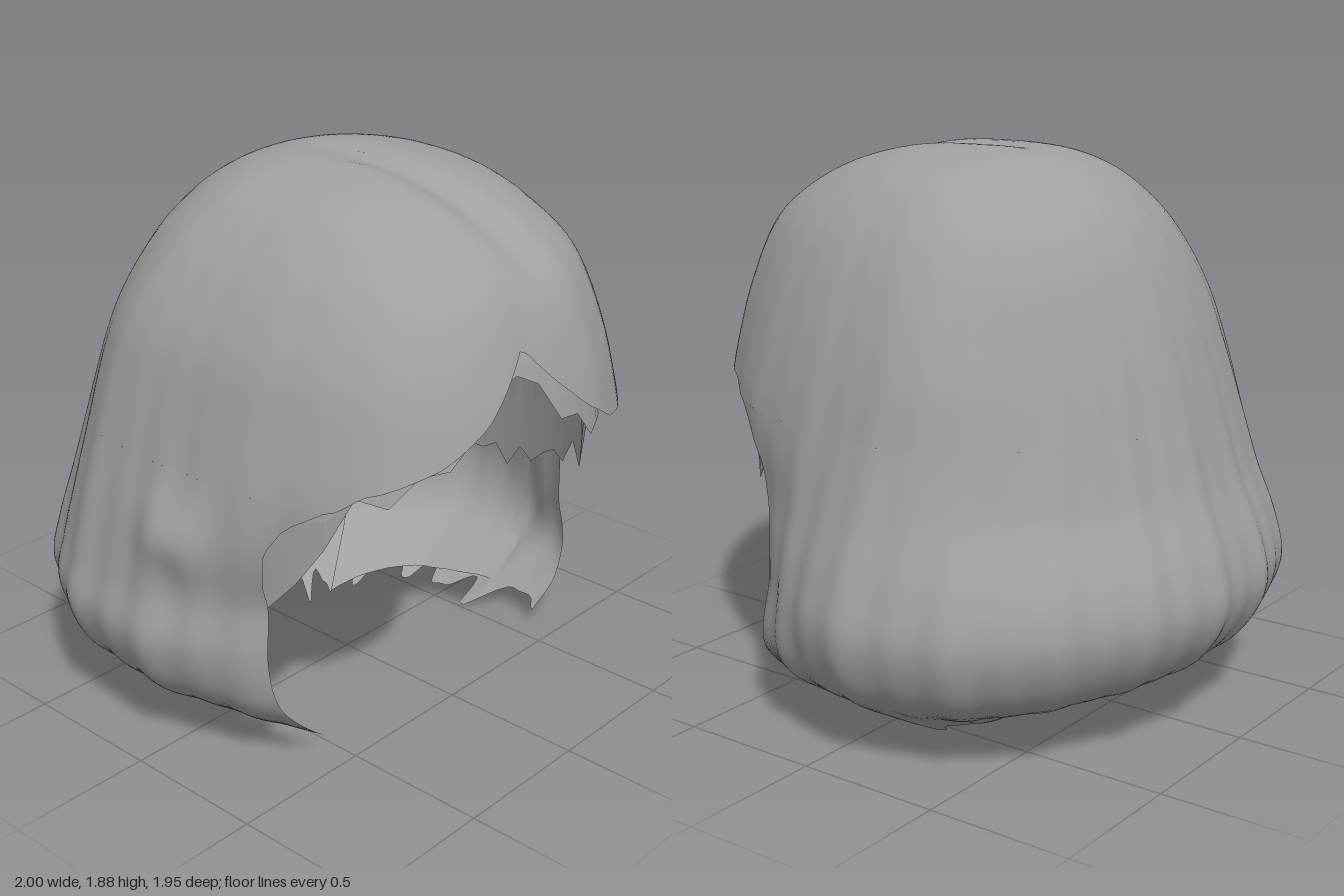
import * as THREE from 'three';
import { mergeVertices } from 'three/addons/utils/BufferGeometryUtils.js';

const TOP = 1.88, SEAM = 1.03;
const { lerp, clamp, smoothstep } = THREE.MathUtils;

// Half widths and depths of the hair at falling heights
const HEIGHT = [1.88, 1.85, 1.8, 1.7, 1.6, 1.4, 1.2, 1.0, 0.8, 0.6, 0.45, 0.3, 0.2, 0.1, 0];
const LEFT = [0, 0.25, 0.40, 0.53, 0.61, 0.71, 0.78, 0.83, 0.89, 0.96, 0.99, 0.95, 0.87, 0.71, 0.54];
const RIGHT = [0, 0.29, 0.42, 0.55, 0.64, 0.76, 0.82, 0.87, 0.92, 0.96, 0.99, 0.94, 0.85, 0.71, 0.54];
const FRONT = [0.1, 0.36, 0.53, 0.72, 0.83, 0.92, 0.97, 0.99, 0.92, 0.82, 0.78, 0.82, 0.88, 0.9, 0.9];
const BACK = [0, -0.24, -0.37, -0.5, -0.58, -0.68, -0.75, -0.81, -0.87, -0.95, -0.97, -0.9, -0.78, -0.52, -0.32];
const depth = HEIGHT.map((y) => Math.sqrt(TOP - y));

// Smooth interpolation through knots
function curve(xs, ys, x) {
  const n = xs.length - 1;
  if (x <= xs[0]) return ys[0];
  if (x >= xs[n]) return ys[n];
  let i = 0;
  while (x > xs[i + 1]) i++;
  const slope = (k) => {
    const a = Math.max(k - 1, 0), b = Math.min(k + 1, n);
    return (ys[b] - ys[a]) / (xs[b] - xs[a]);
  };
  const h = xs[i + 1] - xs[i], t = (x - xs[i]) / h, t2 = t * t, t3 = t2 * t;
  return (2 * t3 - 3 * t2 + 1) * ys[i] + (t3 - 2 * t2 + t) * h * slope(i)
    + (3 * t2 - 2 * t3) * ys[i + 1] + (t3 - t2) * h * slope(i + 1);
}

function linear(xs, ys, x) {
  if (x <= xs[0]) return ys[0];
  for (let i = 1; i < xs.length; i++) {
    if (x <= xs[i]) return lerp(ys[i - 1], ys[i], (x - xs[i - 1]) / (xs[i] - xs[i - 1]));
  }
  return ys[ys.length - 1];
}

// Point on the hair at an angle and height; angle 0 is +x, 90 degrees is the front
function hairPoint(angle, y, scale = 1, strands = 1) {
  const q = Math.sqrt(Math.max(TOP - y, 0));
  const c = Math.cos(angle), s = Math.sin(angle);
  const zc = lerp(0.05, -0.15, Math.min(q / 0.8, 1));
  const a = Math.max(curve(depth, c > 0 ? LEFT : RIGHT, q), 1e-4);
  const b = Math.max(Math.abs(curve(depth, s > 0 ? FRONT : BACK, q) - zc), 1e-4);
  // The right front is fuller, the left side cuts in, and the back corners taper above the bulge
  const middle = smoothstep(y, 0.2, 0.5) * smoothstep(1.1 - y, 0, 0.4);
  const p = 2 + 1.2 * smoothstep(-c, -0.15, 0.4) * smoothstep(s, 0, 0.4) * smoothstep(y, 0.6, 1.1)
    - 0.3 * smoothstep(c, 0, 0.3) * smoothstep(s, 0, 0.4) * middle
    - 0.25 * smoothstep(c, -0.3, 0.5) * smoothstep(-s, 0, 0.4)
      * smoothstep(y, 0.55, 0.85) * smoothstep(1.7 - y, 0, 0.4);
  let r = (Math.abs(c / a) ** p + Math.abs(s / b) ** p) ** (-1 / p);
  const wave = 0.5 * Math.sin(17 * angle + 1) + 0.35 * Math.sin(34 * angle + 0.5 + y)
    + 0.3 * Math.sin(9 * angle + 2 * y);
  const amount = 0.004 + 0.012 * smoothstep(1.5 - y, 0, 1) * (1 - 0.5 * smoothstep(s, 0.3, 0.6));
  r *= scale * (1 + strands * amount * wave * smoothstep(q, 0, 0.5));
  const point = new THREE.Vector3(r * c, y, zc + r * s);
  // Parting groove on the crown and a bump over the right ear
  if (strands) {
    point.y -= 0.03 * Math.exp(-(((point.x + 0.04) / 0.07) ** 2))
      * smoothstep(y, 1.45, 1.8) * smoothstep(point.z, -0.3, 0.2);
    if (c < 0) point.x -= 0.05 * Math.exp(-(((y - 0.82) / 0.12) ** 2) - ((point.z - 0.1) / 0.12) ** 2);
  }
  return point;
}

// Grid surface from a function of u (around) and v (downward)
function patch(name, material, nu, nv, f, faceted = false) {
  const pos = [], index = [];
  for (let j = 0; j <= nv; j++) {
    for (let i = 0; i <= nu; i++) pos.push(...f(i / nu, j / nv).toArray());
  }
  for (let j = 0; j < nv; j++) {
    for (let i = 0; i < nu; i++) {
      const a = j * (nu + 1) + i, b = a + nu + 1;
      index.push(a, a + 1, b, a + 1, b + 1, b);
    }
  }
  let geometry = new THREE.BufferGeometry();
  geometry.setAttribute('position', new THREE.Float32BufferAttribute(pos, 3));
  geometry.setIndex(index);
  geometry = faceted ? geometry.toNonIndexed() : mergeVertices(geometry, 1e-4);
  geometry.computeVertexNormals();
  const mesh = new THREE.Mesh(geometry, material);
  mesh.name = name;
  return mesh;
}

// Lower edge of the fringe, swept to both sides of an off-centre parting
function fringeEdge(angle) {
  if (Math.sin(angle) <= 0) return SEAM;
  const point = hairPoint(angle, 1.15, 1, 0);
  const edge = linear([-0.78, -0.55, -0.4, -0.23, -0.1, 0.05, 0.2, 0.5, 0.64],
    [1.06, 1.17, 1.27, 1.46, 1.34, 1.22, 1.13, 1.08, SEAM], point.x);
  return lerp(SEAM, edge, smoothstep(point.z, 0.6, 0.72));
}

// Angle at which the side curtain ends, for either side
function curtainEdge(y, right) {
  const z = linear([0, 0.7, 0.85, 0.95, SEAM], [0.4, 0.4, 0.43, 0.5, 0.62], y);
  let lo = 0, hi = Math.PI / 2;
  for (let i = 0; i < 24; i++) {
    const mid = (lo + hi) / 2;
    if (hairPoint(right ? Math.PI - mid : mid, y, 1, 0).z < z) lo = mid; else hi = mid;
  }
  return right ? Math.PI - lo : lo + 2 * Math.PI;
}

// Uneven lower tips, raised at the back and at the front corners
function hem(angle) {
  const side = smoothstep(Math.abs(Math.cos(angle)), 0.3, 0.7);
  return clamp(0.1 - 0.07 * side + 0.07 * smoothstep(Math.sin(angle), 0.45, 0.68)
    + (0.006 + 0.022 * side) * (Math.sin(23 * angle) + 0.5 * Math.sin(37 * angle)), 0, 0.2);
}

export function createModel() {
  const group = new THREE.Group();
  group.name = 'bobHair';
  const hair = new THREE.MeshStandardMaterial({ color: 0xa0a0a0, side: THREE.DoubleSide });
  hair.name = 'hair grey';

  // Crown and fringe
  group.add(patch('crownAndFringe', hair, 240, 48, (u, v) => {
    const angle = u * Math.PI * 2;
    return hairPoint(angle, TOP - (TOP - fringeEdge(angle)) * v * v);
  }));

  // Sides and back, with an inner layer that meets it at the edges
  const curtain = (thickness) => (u, v) => {
    const level = lerp(SEAM, 0.06, v);
    const angle = lerp(curtainEdge(level, true), curtainEdge(level, false), u);
    const taper = smoothstep(Math.min(u, 1 - u), 0, 0.05) * smoothstep(1 - v, 0, 0.2);
    return hairPoint(angle, lerp(SEAM, hem(angle), v), 1 - thickness * taper);
  };
  group.add(patch('sideAndBackHair', hair, 220, 44, curtain(0)));
  group.add(patch('innerHair', hair, 160, 30, curtain(0.04)));

  // Loose locks curling in behind the front edges
  for (const right of [true, false]) {
    group.add(patch(right ? 'rightInnerLock' : 'leftInnerLock', hair, 24, 20, (u, v) => {
      const y = lerp(lerp(0.78, 0.58, u), lerp(0.1, 0.02, u), v);
      const end = right ? Math.PI * 1.18 : Math.PI * 1.82;
      const angle = lerp(curtainEdge(y, right), end, u);
      return hairPoint(angle, y, 1 - lerp(0.3, 0.2, v) * smoothstep(u, 0, 1));
    }));
  }

  // Faceted lining with ragged ends beside the face
  const liningEdge = (angle) => {
    const s = Math.sin(angle), left = Math.cos(angle) > 0;
    const teeth = 0.05 * Math.sin(angle * 31);
    const limit = left ? 0.82 : 0.72;
    if (s > limit) return fringeEdge(angle) - 0.06 + 0.6 * teeth;
    return linear([-1, -0.3, 0, 0.4, 0.62, limit],
      [0.75, 0.74, 0.52, 0.56, 0.66, left ? 0.78 : 0.95], s) + teeth * smoothstep(s, 0.1, 0.4);
  };
  group.add(patch('lining', hair, 72, 16, (u, v) => {
    const angle = u * Math.PI * 2;
    const top = 1.84, y = top - (top - liningEdge(angle)) * v ** 1.6;
    const point = hairPoint(angle, Math.max(y + 0.04, 0.95), 0.94, 0);
    point.y = y;
    if (v === 0) point.set(0, top, 0.05);
    return point;
  }, true));

  return group;
}
